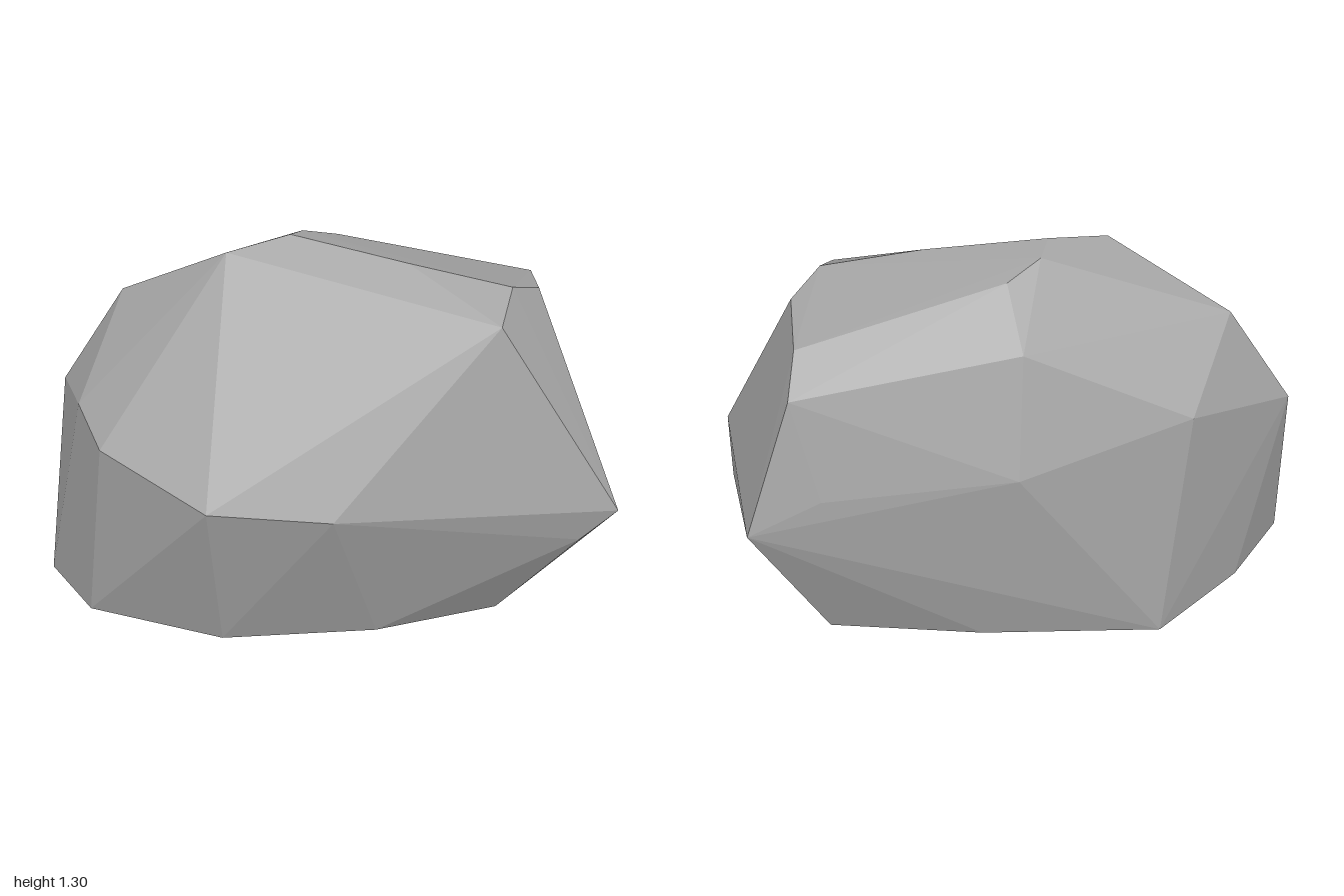
import * as THREE from 'three';
import { ConvexGeometry } from 'three/addons/geometries/ConvexGeometry.js';

// Corner points of the boulder, grouped by height, as [x, y, z]
const base = [
  [-1, 0.05], [-0.8, 0.29], [-0.31, 0.41], [0.21, 0.31], [0.62, 0.13],
  [0.64, -0.12], [0.64, -0.4], [0.12, -0.47], [-0.49, -0.49], [-0.8, -0.22],
].map(([x, z]) => [x, 0, z]);

const waist = [
  [-0.94, 0.7, -0.12], [-0.81, 0.76, 0.18], [-0.7, 0.69, 0.36],
  [-0.32, 0.585, 0.55], [0.08, 0.555, 0.51], [0.88, 0.36, 0.22],
  [1, 0.47, 0.2], [0.97, 0.37, -0.01], [0.86, 0.53, -0.55],
  [0.62, 0.65, -0.54], [0, 0.7, -0.535], [-0.56, 0.83, -0.41],
];

const shoulder = [
  [-0.71, 1.05, -0.13], [0.58, 1.11, 0.18], [0.61, 1.18, 0.02],
  [0.7, 1.13, -0.1], [0.68, 1.09, -0.34], [0.7, 0.98, -0.46],
  [-0.02, 1.08, -0.4],
];

const crown = [
  [-0.32, 1.26, 0.02], [-0.12, 1.3, -0.06], [0.27, 1.24, 0],
  [-0.09, 1.28, -0.15], [0.02, 1.24, -0.23],
];

export function createModel() {
  const group = new THREE.Group();
  group.name = 'rock';

  const stone = new THREE.MeshStandardMaterial({ color: 0xa3a3a3 });
  stone.name = 'stone grey';

  // Faceted boulder: flat faces stretched over all the corners
  const points = [...base, ...waist, ...shoulder, ...crown].map((p) => new THREE.Vector3(...p));
  const boulder = new THREE.Mesh(new ConvexGeometry(points), stone);
  boulder.name = 'boulder';
  group.add(boulder);

  return group;
}
